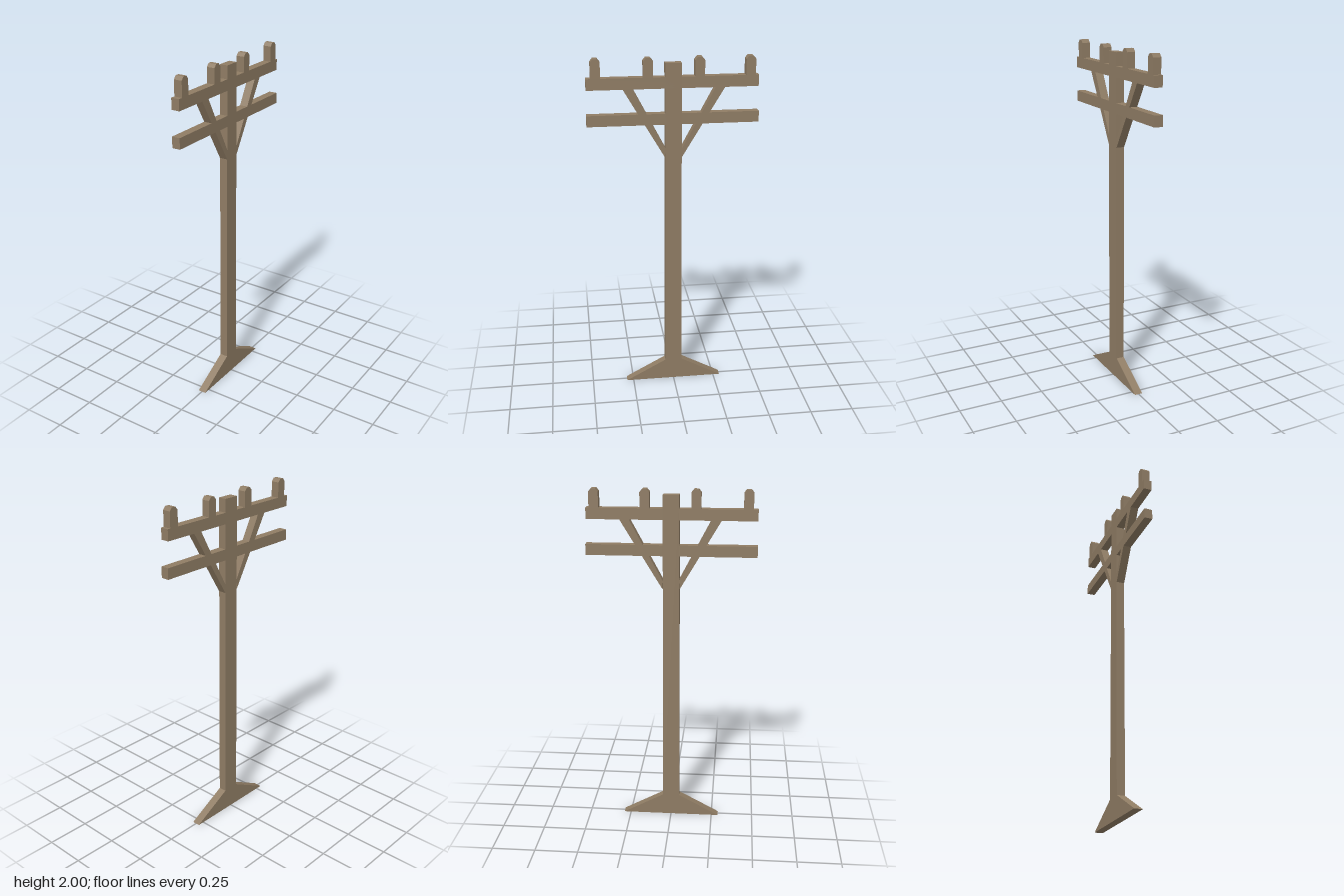
import * as THREE from 'three';

const THICKNESS = 0.048;

export function createModel() {
  const model = new THREE.Group();
  model.name = 'utilityPole';

  const wood = new THREE.MeshStandardMaterial({ color: 0x8f7c64 });
  wood.name = 'weathered wood';

  // Cuts a flat board from a [z, y] outline, with its thickness along x
  function board(name, outline) {
    const shape = new THREE.Shape(outline.map(([z, y]) => new THREE.Vector2(z, y)));
    const geometry = new THREE.ExtrudeGeometry(shape, { depth: THICKNESS, bevelEnabled: false });
    geometry.translate(0, 0, -THICKNESS / 2);
    geometry.rotateY(-Math.PI / 2);
    const mesh = new THREE.Mesh(geometry, wood);
    mesh.name = name;
    model.add(mesh);
  }

  // Upright post, slightly narrower at the top, rising from the base
  board('post', [[-0.05, 0.13], [0.05, 0.13], [0.045, 1.97], [-0.045, 1.97]]);

  // Spreading foot
  board('base', [[-0.29, 0], [0.29, 0], [0.05, 0.13], [-0.05, 0.13]]);

  // Two crossarms
  board('upperCrossarm', [[-0.473, 1.832], [0.477, 1.832], [0.477, 1.895], [-0.473, 1.895]]);
  board('lowerCrossarm', [[-0.48, 1.63], [0.48, 1.63], [0.48, 1.692], [-0.48, 1.692]]);

  // Diagonal braces from the post to the upper crossarm
  board('frontBrace', [[0.048, 1.44], [0.278, 1.832], [0.222, 1.832], [0.046, 1.495]]);
  board('backBrace', [[-0.048, 1.44], [-0.046, 1.487], [-0.233, 1.832], [-0.286, 1.832]]);

  // Insulator pegs with chamfered tops
  [0.424, 0.138, -0.146, -0.428].forEach((z, i) => {
    board(`insulator${i + 1}`, [
      [z - 0.027, 1.895], [z + 0.027, 1.895], [z + 0.027, 1.982],
      [z + 0.012, 2], [z - 0.012, 2], [z - 0.027, 1.982],
    ]);
  });

  return model;
}
